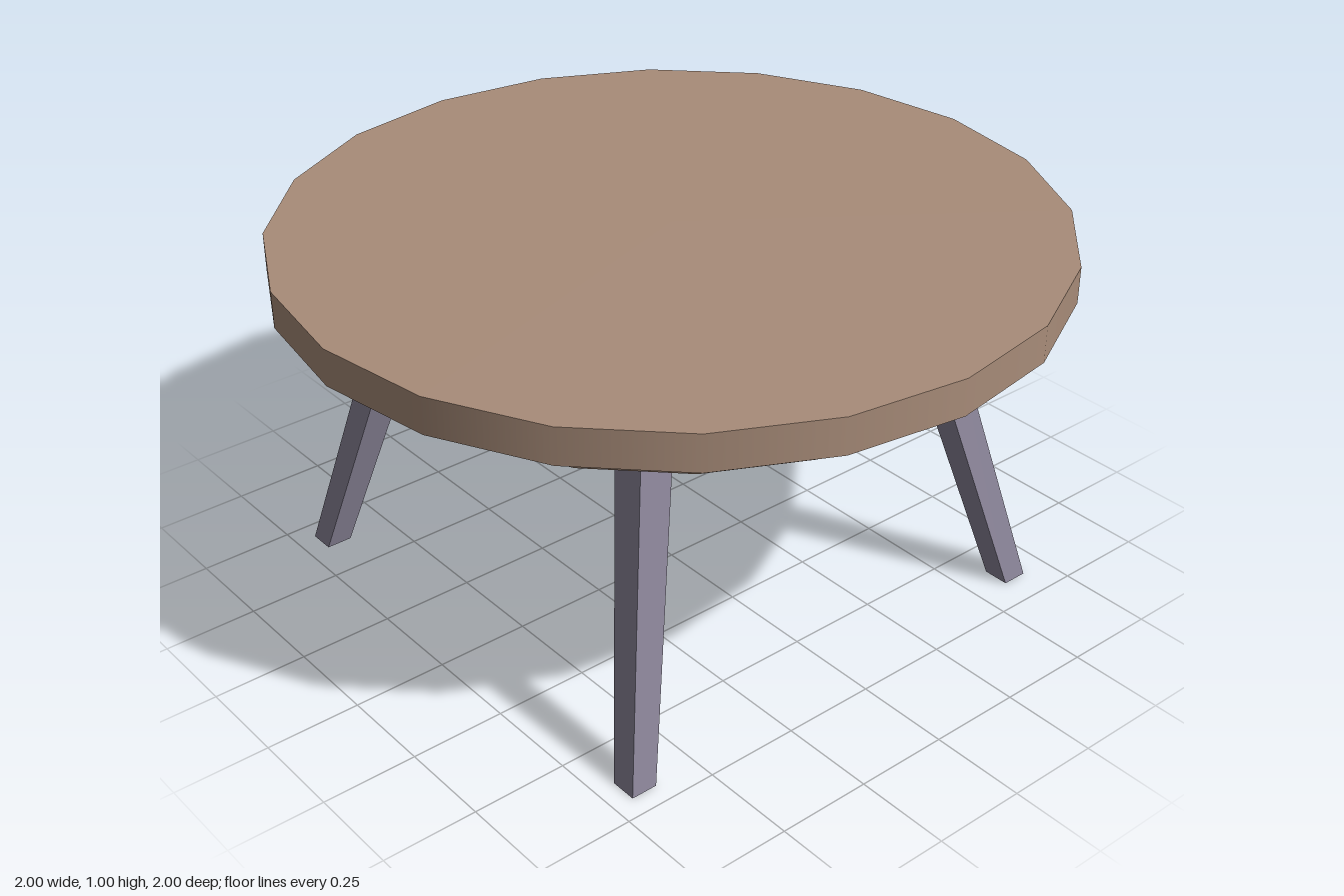
import * as THREE from 'three';

const SIDES = 20;
const RIM_Y = 0.904, APRON_Y = 0.81;

// Tapered square leg, splayed from a foot centre to a top centre (each [x, z])
function legGeometry(foot, top) {
  const geo = new THREE.BoxGeometry(1, 1, 1);
  const p = geo.attributes.position;
  for (let i = 0; i < p.count; i++) {
    const upper = p.getY(i) > 0;
    const [cx, cz] = upper ? top : foot;
    const width = upper ? 0.095 : 0.07;
    p.setXYZ(i, cx + p.getX(i) * width, upper ? APRON_Y : 0, cz + p.getZ(i) * width);
  }
  geo.computeVertexNormals();
  return geo;
}

export function createModel() {
  const table = new THREE.Group();
  table.name = 'roundTable';

  const wood = new THREE.MeshStandardMaterial({ color: 0xa88c79 });
  wood.name = 'brown wood';
  const legPaint = new THREE.MeshStandardMaterial({ color: 0x8a8498 });
  legPaint.name = 'grey violet';

  const add = (name, geo, mat, y = 0) => {
    const mesh = new THREE.Mesh(geo, mat);
    mesh.name = name;
    mesh.position.y = y;
    table.add(mesh);
  };

  // Round top slab
  add('tabletop', new THREE.CylinderGeometry(1, 1, 1 - RIM_Y, SIDES), wood, (1 + RIM_Y) / 2);

  // Sloped apron under the slab
  add('apron', new THREE.CylinderGeometry(0.9, 0.857, RIM_Y - APRON_Y, SIDES), wood, (RIM_Y + APRON_Y) / 2);

  // Four splayed legs, slightly uneven in their placing
  const legs = [
    ['frontLeftLeg', [0.633, 0.632], [0.441, 0.44]],
    ['frontRightLeg', [-0.66, 0.66], [-0.467, 0.466]],
    ['backLeftLeg', [0.633, -0.686], [0.441, -0.495]],
    ['backRightLeg', [-0.66, -0.66], [-0.467, -0.469]],
  ];
  for (const [name, foot, top] of legs) add(name, legGeometry(foot, top), legPaint);

  return table;
}
